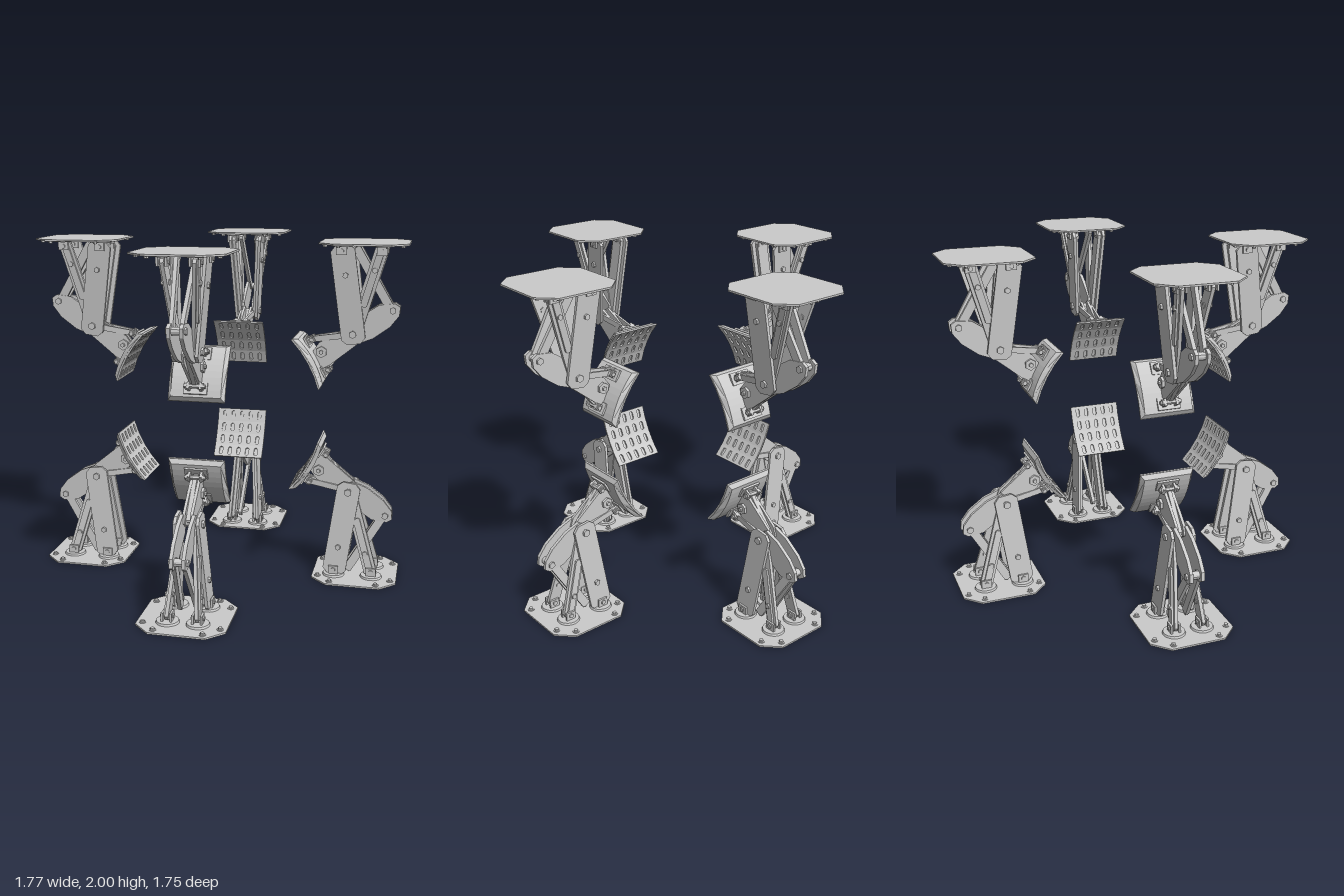
import * as THREE from 'three';

const material = new THREE.MeshStandardMaterial({ color: 0xcccccc, flatShading: true });
const V = (x, y, z) => new THREE.Vector3(x, y, z);

function add(parent, name, geometry) {
  const mesh = new THREE.Mesh(geometry, material);
  mesh.name = name;
  parent.add(mesh);
  return mesh;
}

// flat plate in the arm's plane, centred on z
function plate(parent, name, points, thickness, z) {
  const shape = new THREE.Shape(points.map(p => new THREE.Vector2(...p)));
  const g = new THREE.ExtrudeGeometry(shape, { depth: thickness, bevelEnabled: false });
  add(parent, name, g.translate(0, 0, z - thickness / 2));
}

// bar with chamfered ends running from a to b
function link(parent, name, a, b, width, thickness) {
  const len = a.distanceTo(b), h = width / 2, c = width * 0.22;
  const pts = [[-h, c], [-h + c, 0], [h - c, 0], [h, c], [h, len - c], [h - c, len], [-h + c, len], [-h, len - c]];
  const shape = new THREE.Shape(pts.map(p => new THREE.Vector2(...p)));
  const g = new THREE.ExtrudeGeometry(shape, { depth: thickness, bevelEnabled: false });
  g.translate(0, 0, -thickness / 2);
  const y = b.clone().sub(a).normalize();
  const x = y.clone().cross(V(0, 0, 1)).normalize();
  const m = new THREE.Matrix4().makeBasis(x, y, x.clone().cross(y)).setPosition(a);
  add(parent, name, g.applyMatrix4(m));
}

// hexagonal bolt or pin lying across the arm
function pin(parent, name, x, y, z, r, len, sides = 6) {
  add(parent, name, new THREE.CylinderGeometry(r, r, len, sides).rotateX(Math.PI / 2).translate(x, y, z));
}

function box(parent, name, w, h, d, x, y, z) {
  add(parent, name, new THREE.BoxGeometry(w, h, d).translate(x, y, z));
}

// chamfered square base with flanged feet
function buildBase(arm) {
  const base = new THREE.Group();
  base.name = 'base';
  const a = 0.251, b = 0.159;
  const outline = [[a, -b], [a, b], [b, a], [-b, a], [-a, b], [-a, -b], [-b, -a], [b, -a]];
  const shape = new THREE.Shape(outline.map(p => new THREE.Vector2(...p)));
  const g = new THREE.ExtrudeGeometry(shape, { depth: 0.01, bevelEnabled: false });
  add(base, 'basePlate', g.rotateX(-Math.PI / 2));
  for (const [x, z] of outline) {
    add(base, 'baseWasher', new THREE.CylinderGeometry(0.019, 0.019, 0.004, 12).translate(x * 0.86, 0.012, z * 0.86));
    add(base, 'baseBolt', new THREE.CylinderGeometry(0.012, 0.012, 0.014, 6).translate(x * 0.86, 0.017, z * 0.86));
  }
  for (const s of [-1, 1]) for (const [x, z] of [[0.125, 0.09], [-0.1, 0.085]]) {
    add(base, 'footFlange', new THREE.CylinderGeometry(0.062, 0.066, 0.012, 20).translate(x, 0.016, s * z));
    for (const e of [-1, 1]) box(base, 'footEar', 0.06, 0.05, 0.012, x, 0.045, s * z + e * 0.024);
    pin(base, 'footPin', x, 0.048, s * z, 0.014, 0.075);
  }
  arm.add(base);
}

// concave gripping pad with a slotted face
function buildPad(arm) {
  const pad = new THREE.Group();
  pad.name = 'pad';
  const half = 0.164, width = 0.32, sag = 0.02, skin = 0.01;
  const face = y => -sag * (1 - (y / half) ** 2);
  const front = [], back = [];
  for (let i = 0; i <= 8; i++) {
    const y = -half + (i / 8) * 2 * half;
    front.push([face(y) - skin, y]);
    back.unshift([face(y) - 0.036, y * 0.9]);
  }
  const shape = new THREE.Shape([...front, ...back].map(p => new THREE.Vector2(...p)));
  const body = new THREE.ExtrudeGeometry(shape, { depth: width, bevelEnabled: false }).translate(0, 0, -width / 2);
  const p = body.attributes.position;
  for (let i = 0; i < p.count; i++) {
    if (p.getX(i) < face(p.getY(i)) - 0.025) p.setZ(i, p.getZ(i) * 0.88);
  }
  body.computeVertexNormals();
  add(pad, 'padBody', body);

  // face strips following the curve, each with a row of slots
  const rows = 4, cols = 5, r = 0.011, reach = 0.016;
  for (let i = 0; i < rows; i++) {
    const y0 = -half + (i / rows) * 2 * half, y1 = y0 + 2 * half / rows;
    const dx = face(y1) - face(y0), h = Math.hypot(dx, y1 - y0) / 2;
    const strip = new THREE.Shape([[-width / 2, -h], [width / 2, -h], [width / 2, h], [-width / 2, h]]
      .map(q => new THREE.Vector2(...q)));
    for (let j = 0; j < cols; j++) {
      const cx = (j - (cols - 1) / 2) * 0.058;
      const slot = new THREE.Path();
      slot.absarc(cx, reach, r, 0, Math.PI, false);
      slot.absarc(cx, -reach, r, Math.PI, 2 * Math.PI, false);
      slot.closePath();
      strip.holes.push(slot);
    }
    const g = new THREE.ExtrudeGeometry(strip, { depth: skin, bevelEnabled: false, curveSegments: 5 });
    g.translate(0, 0, -skin).rotateY(Math.PI / 2).rotateZ(-Math.atan2(dx, y1 - y0));
    add(pad, 'padSlots', g.translate((face(y0) + face(y1)) / 2, (y0 + y1) / 2, 0));
  }

  // hinge brackets on the back
  for (const y of [-0.1, 0.1]) {
    box(pad, 'bracketPlate', 0.012, 0.07, 0.13, face(y) - 0.04, y, 0);
    for (const z of [-0.034, 0.034]) box(pad, 'bracketEar', 0.05, 0.04, 0.014, face(y) - 0.062, y, z);
    pin(pad, 'bracketPin', face(y) - 0.072, y, 0, 0.013, 0.12);
    for (const z of [-0.045, 0.045]) pin(pad, 'bracketNut', face(y) - 0.072, y, z, 0.02, 0.012);
  }
  pad.position.set(0.316, 0.697, 0);
  pad.rotation.z = 0.517;
  arm.add(pad);
}

function buildArm() {
  const arm = new THREE.Group();
  buildBase(arm);
  for (const s of [-1, 1]) {
    // main leg: wide plate with an inner rib
    link(arm, 'mainLeg', V(0.125, 0.015, s * 0.098), V(0.045, 0.582, s * 0.062), 0.138, 0.018);
    link(arm, 'mainLegRib', V(0.125, 0.03, s * 0.078), V(0.048, 0.565, s * 0.044), 0.08, 0.02);
    for (const [t, r] of [[0.06, 0.016], [0.3, 0.017], [0.9, 0.022]]) {
      pin(arm, 'legBolt', 0.125 - 0.08 * t, 0.015 + 0.567 * t, s * (0.105 - 0.036 * t), r, 0.03);
    }
    // crossing strut and knee strut
    link(arm, 'crossStrut', V(-0.1, 0.025, s * 0.085), V(0.045, 0.52, s * 0.04), 0.075, 0.02);
    link(arm, 'crossStrutRib', V(-0.095, 0.04, s * 0.1), V(0.0, 0.365, s * 0.07), 0.04, 0.012);
    pin(arm, 'strutBolt', -0.062, 0.155, s * 0.082, 0.016, 0.045);
    link(arm, 'kneeStrut', V(0.05, 0.03, s * 0.05), V(-0.168, 0.4, s * 0.026), 0.05, 0.022);

    // curved elbow plate and its knee joint
    plate(arm, 'elbowPlate', [[-0.18, 0.345], [-0.09, 0.355], [0, 0.415], [0.07, 0.47], [0.085, 0.55],
      [0.03, 0.585], [-0.06, 0.55], [-0.155, 0.48], [-0.205, 0.415], [-0.21, 0.365]], 0.02, s * 0.034);
    pin(arm, 'kneeBolt', -0.168, 0.385, s * 0.045, 0.02, 0.02);

    // forearm plate carrying the pad
    plate(arm, 'forearmPlate', [[0.01, 0.535], [0.07, 0.495], [0.25, 0.585], [0.285, 0.635],
      [0.25, 0.735], [0.22, 0.745], [0.03, 0.59]], 0.016, s * 0.022);
    pin(arm, 'forearmHub', 0.235, 0.64, s * 0.036, 0.034, 0.018);
    pin(arm, 'forearmBolt', 0.235, 0.64, s * 0.046, 0.013, 0.022);
    link(arm, 'lowerRod', V(0.06, 0.53, s * 0.044), V(0.335, 0.575, s * 0.018), 0.034, 0.014);
  }
  // central parts
  link(arm, 'upperRod', V(0.04, 0.53, 0), V(0.225, 0.75, 0), 0.04, 0.024);
  pin(arm, 'elbowPin', 0.05, 0.53, 0, 0.018, 0.15, 12);
  pin(arm, 'kneePin', -0.168, 0.385, 0, 0.022, 0.08, 12);
  pin(arm, 'forearmSpacer', 0.235, 0.64, 0, 0.02, 0.06, 12);
  buildPad(arm);
  return arm;
}

export function createModel() {
  const model = new THREE.Group();
  model.name = 'clampArms';
  const arm = buildArm();
  // four corners, standing and hanging
  for (const top of [false, true]) for (const sx of [-1, 1]) for (const sz of [-1, 1]) {
    const copy = arm.clone();
    copy.name = top ? 'upperArm' : 'lowerArm';
    copy.rotation.set(top ? Math.PI : 0, Math.atan2(sz, -sx), 0, 'YXZ');
    copy.position.set(sx * 0.597 - 0.058, top ? 2 : 0, sz * 0.585);
    model.add(copy);
  }
  return model;
}
